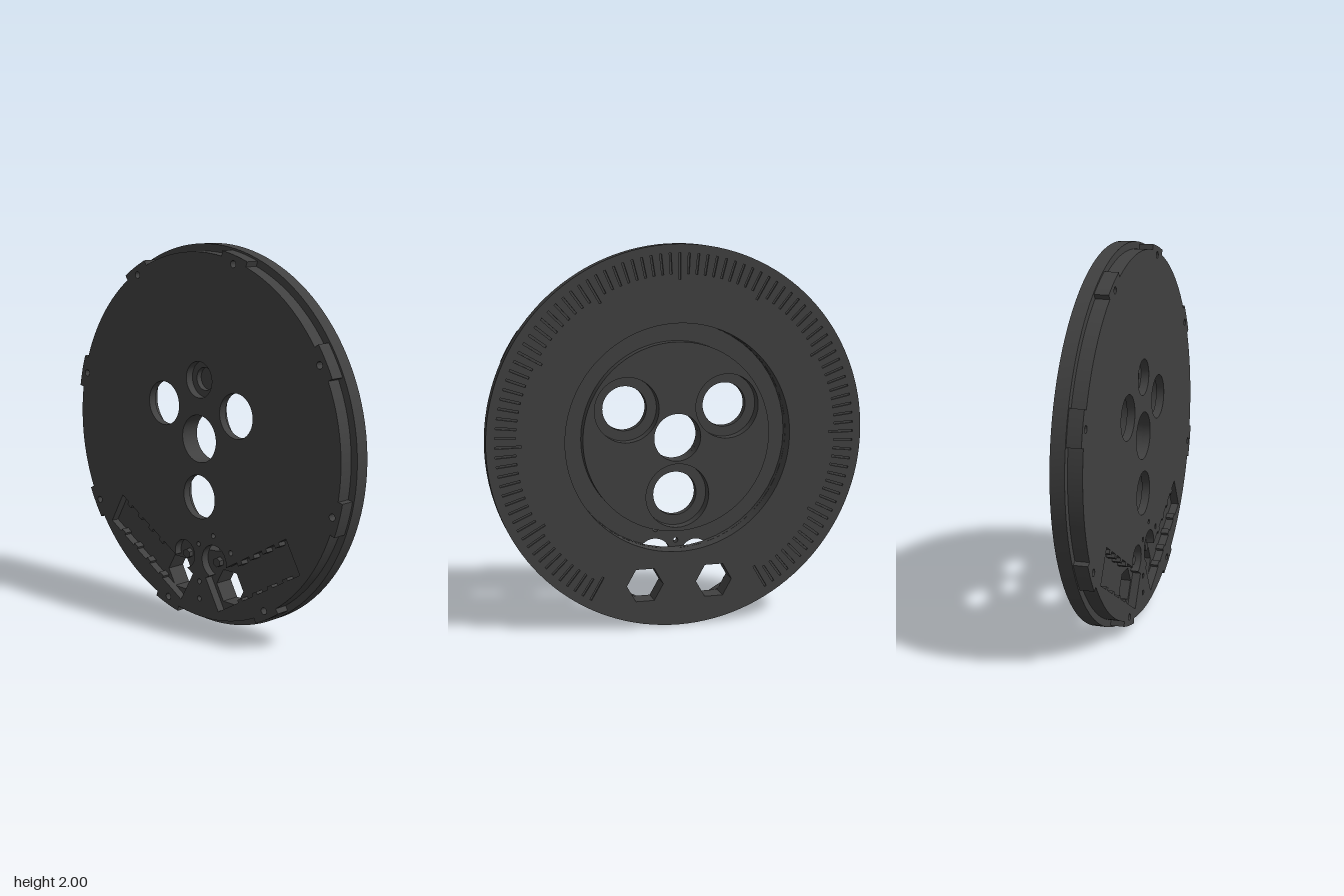
import * as THREE from 'three';
import { toCreasedNormals } from 'three/addons/utils/BufferGeometryUtils.js';

const rad = THREE.MathUtils.degToRad;
const mat = new THREE.MeshStandardMaterial({ color: 0x404040 });

// Coordinates in shapes are relative to the disc centre
const circle = (x, y, r) => new THREE.Path().absarc(x, y, r, 0, Math.PI * 2, false);
const polygon = (pts) => new THREE.Path(pts.map(([x, y]) => new THREE.Vector2(x, y)));

function disc(r) {
  const s = new THREE.Shape();
  s.absarc(0, 0, r, 0, Math.PI * 2, false);
  return s;
}

// Outline with eight shallow edge recesses between narrow ribs
function notchedDisc() {
  const s = new THREE.Shape();
  for (let k = 0; k < 8; k++) {
    const a = 30 + 45 * k;
    s.absarc(0, 0, 0.99, rad(a - 5.2), rad(a + 5.2), false);
    s.absarc(0, 0, 0.962, rad(a + 5.2), rad(a + 39.8), false);
  }
  s.closePath();
  return s;
}

function slab(name, shape, holes, z0, z1, segments = 48) {
  shape.holes.push(...holes);
  const geo = new THREE.ExtrudeGeometry(shape, {
    depth: z1 - z0, bevelEnabled: false, curveSegments: segments,
  });
  geo.translate(0, 1, z0);
  const mesh = new THREE.Mesh(toCreasedNormals(geo, 0.5), mat);
  mesh.name = name;
  return mesh;
}

// Toothed pocket with a round lobe, tilted 30 degrees; side = 1 or -1
function pocket(side, lobeR) {
  const pts = [[0, 0]];
  for (let i = 0; i < 4; i++) {
    const u = 0.17 + i * 0.12;
    pts.push([u, 0], [u, 0.015], [u + 0.035, 0.015], [u + 0.035, 0]);
  }
  pts.push([0.657, 0], [0.657, 0.19]);
  for (let i = 0; i < 4; i++) {
    const u = 0.6 - i * 0.1;
    pts.push([u, 0.19], [u, 0.17], [u - 0.035, 0.17], [u - 0.035, 0.19]);
  }
  const start = Math.asin(-0.055 / lobeR);
  for (let i = 0; i <= 24; i++) {
    const a = start + (Math.PI - 2 * start) * i / 24;
    pts.push([0.104 + lobeR * Math.cos(a), 0.245 + lobeR * Math.sin(a)]);
  }
  pts.push([0, 0.19]);
  const c = Math.cos(rad(30)), s = Math.sin(rad(30));
  return polygon(pts.map(([u, v]) => [side * (0.144 + u * c - v * s), -0.904 + u * s + v * c]));
}

// Six-sided windows through the dial
const windows = () => [-1, 1].map((side) => polygon(
  Array.from({ length: 6 }, (_, i) => [
    side * 0.187 + 0.098 * Math.cos(rad(60 * i)),
    -0.77 + 0.1 * Math.sin(rad(60 * i)),
  ])));

// Three holes around the hub
const hubHoles = (r) => [30, 150, 270].map((a) =>
  circle(0.31 * Math.cos(rad(a)), 0.31 * Math.sin(rad(a)), r));

// Engraved radial graduation lines, open at the bottom
function graduations() {
  const marks = [];
  for (let i = 0; i <= 100; i++) {
    const a = rad(-60 + 3 * i);
    const c = Math.cos(a), s = Math.sin(a), w = 0.0055;
    const r0 = i % 10 === 0 ? 0.82 : 0.85, r1 = 0.955;
    marks.push(polygon([[r0, -w], [r1, -w], [r1, w], [r0, w]]
      .map(([u, v]) => [u * c - v * s, u * s + v * c])));
  }
  return marks;
}

export function createModel() {
  const group = new THREE.Group();
  group.name = 'graduatedDial';

  // Back rim: engraved face, then the solid ring behind it
  group.add(slab('graduatedFace', disc(1),
    [circle(0, 0, 0.6), ...windows(), ...graduations()], -0.073, -0.063, 64));
  group.add(slab('backRing', disc(1), [circle(0, 0, 0.6), ...windows()], -0.063, 0, 64));

  // Notched ring, whose front is the floor of the front pockets
  group.add(slab('notchedRing', notchedDisc(),
    [circle(0, 0, 0.6), ...windows()], 0, 0.03, 24));

  // Front plate with pockets, rib holes and through holes
  const ribHoles = Array.from({ length: 8 }, (_, k) => {
    const a = rad(30 + 45 * k);
    return circle(0.945 * Math.cos(a), 0.945 * Math.sin(a), 0.018);
  });
  group.add(slab('frontPlate', notchedDisc(), [
    circle(0, 0, 0.125), ...hubHoles(0.117), circle(0, 0.31, 0.095),
    pocket(1, 0.09), pocket(-1, 0.076), ...ribHoles,
    circle(-0.005, -0.565, 0.013), circle(0.105, -0.5, 0.013),
    circle(0, -0.77, 0.014), circle(0, -0.865, 0.014),
    circle(0.235, -0.565, 0.014),
  ], 0.03, 0.073, 24));

  // Raised hub on the back with counterbored holes and a blind stepped bore
  group.add(slab('hubBase', disc(0.5),
    [circle(0, 0, 0.125), ...hubHoles(0.17), circle(0, 0.31, 0.06)], 0, 0.03));
  group.add(slab('hubTop', disc(0.5),
    [circle(0, 0, 0.125), ...hubHoles(0.17)], -0.03, 0));

  // Small hexagonal posts in the pocket lobes
  for (const side of [-1, 1]) {
    const post = new THREE.Mesh(
      toCreasedNormals(new THREE.CylinderGeometry(0.026, 0.026, 0.03, 6), 0.5), mat);
    post.rotation.x = Math.PI / 2;
    post.position.set(side * 0.115, 0.355, 0.043);
    post.name = 'pocketPost';
    group.add(post);
  }
  return group;
}
